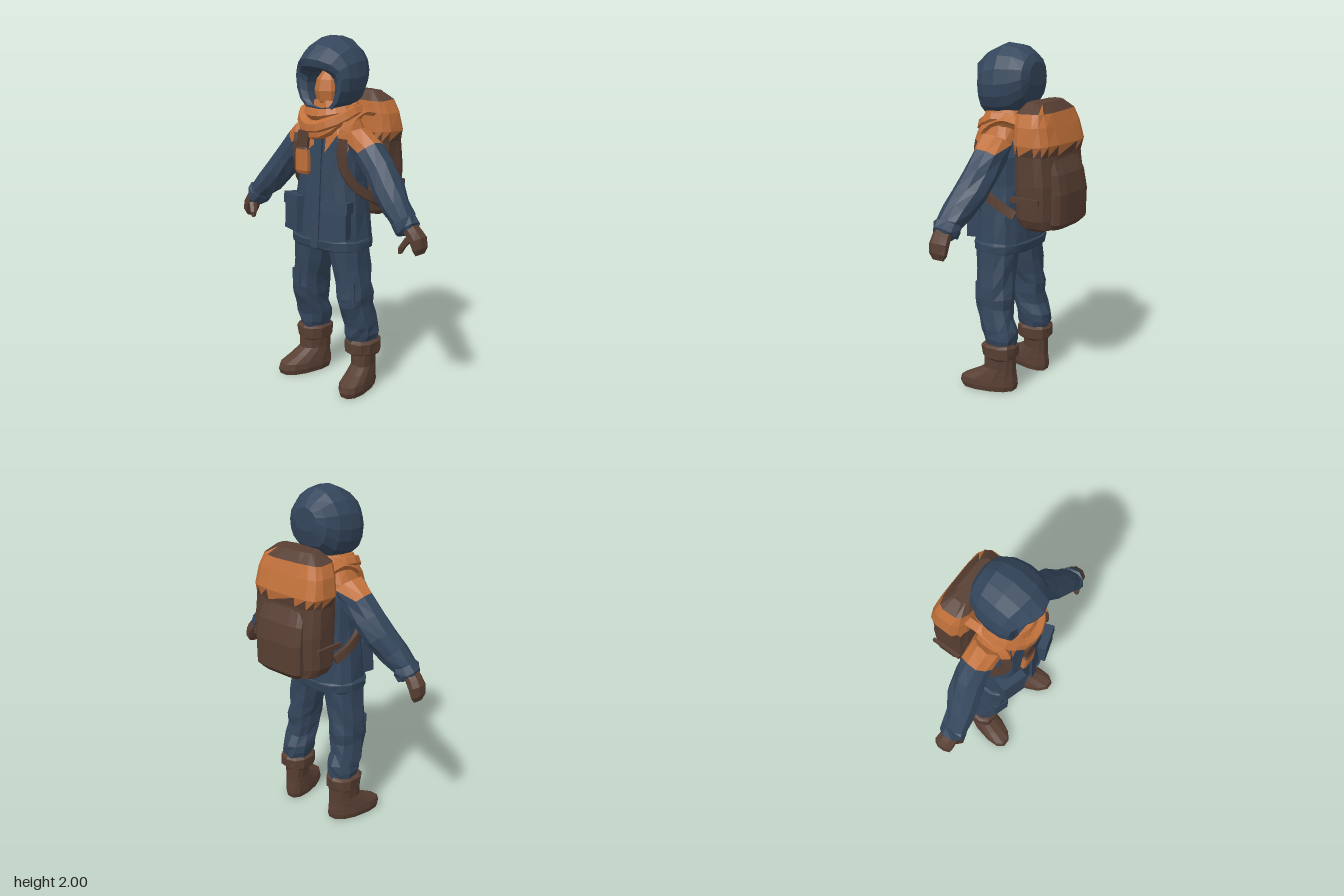
import * as THREE from 'three';

const mat = (name, color) => Object.assign(new THREE.MeshStandardMaterial({ color, flatShading: true }), { name });
const V = (x, y, z) => new THREE.Vector3(x, y, z);

// Small repeatable wobble for creased cloth
const noise = (i) => { const s = Math.sin(i * 127.1 + 3.7) * 43758.5453; return (s - Math.floor(s)) * 2 - 1; };

// Skin over a list of closed rings, capped at both ends
function skin(rings, jitter = 0) {
  const out = [], n = rings[0].length;
  let k = 0;
  if (jitter) rings.flat().forEach((p) => p.add(V(noise(k++), noise(k++), noise(k++)).multiplyScalar(jitter)));
  const tri = (a, b, c) => [a, b, c].forEach((p) => out.push(p.x, p.y, p.z));
  const mid = (r) => r.reduce((s, p) => s.add(p), V(0, 0, 0)).divideScalar(n);
  const first = rings[0], last = rings[rings.length - 1], c0 = mid(first), c1 = mid(last);
  for (let j = 0; j < n; j++) {
    const m = (j + 1) % n;
    tri(c0, first[j], first[m]);
    tri(c1, last[m], last[j]);
    for (let i = 0; i < rings.length - 1; i++) {
      const a = rings[i][j], b = rings[i][m], c = rings[i + 1][m], d = rings[i + 1][j];
      tri(a, d, b);
      tri(b, d, c);
    }
  }
  const g = new THREE.BufferGeometry();
  g.setAttribute('position', new THREE.Float32BufferAttribute(out, 3));
  g.computeVertexNormals();
  return g;
}

// Loft upward through sections [x, y, z, rx, rz]; power squares the outline, tilt leans each ring sideways
function loft(sections, { sides = 10, power = 1, tilt = 0, jitter = 0 } = {}) {
  const sq = (v) => Math.sign(v) * Math.abs(v) ** power;
  return skin(sections.map(([x, y, z, rx, rz]) => Array.from({ length: sides }, (_, j) => {
    const a = ((j + 0.5) / sides) * Math.PI * 2, u = rx * sq(Math.cos(a));
    return V(x + u * Math.cos(tilt), y + u * Math.sin(tilt), z + rz * sq(Math.sin(a)));
  })), jitter);
}

// Flat band along a path, lying against a body whose axis is x = 0, z = 0.1
function band(points, width, thick, steps = 14) {
  const curve = new THREE.CatmullRomCurve3(points.map((p) => V(...p)));
  return skin(Array.from({ length: steps + 1 }, (_, i) => {
    const p = curve.getPoint(i / steps), t = curve.getTangent(i / steps);
    const n = V(p.x, Math.max(0, p.y - 1.4), p.z - 0.1);
    n.addScaledVector(t, -n.dot(t)).normalize();
    const u = t.clone().cross(n).multiplyScalar(width / 2);
    n.multiplyScalar(thick / 2);
    return [[1, -1], [1, 1], [-1, 1], [-1, -1]].map(([a, b]) => p.clone().addScaledVector(u, a).addScaledVector(n, b));
  }));
}

function mirror(geo) {
  const g = geo.clone(), p = g.attributes.position;
  for (let i = 0; i < p.count; i += 3) {
    const v = [0, 2, 1].map((k) => V().fromBufferAttribute(p, i + k));
    v.forEach((q, k) => p.setXYZ(i + k, -q.x, q.y, q.z));
  }
  g.computeVertexNormals();
  return g;
}

export function createModel() {
  const navy = mat('navy cloth', 0x34465c), orange = mat('orange cloth', 0xc0703a), brown = mat('brown leather', 0x583f33);
  const model = new THREE.Group();
  model.name = 'hikerInParka';

  // Adds a part; a colour rule splits its faces into one mesh per colour
  const part = (name, geo, colour) => {
    const g = geo.index ? geo.toNonIndexed() : geo, p = g.attributes.position, buckets = new Map();
    for (let i = 0; i < p.count; i += 3) {
      const v = [0, 1, 2].map((k) => V().fromBufferAttribute(p, i + k));
      const m = typeof colour === 'function' ? colour(V().add(v[0]).add(v[1]).add(v[2]).divideScalar(3)) : colour;
      if (!buckets.has(m)) buckets.set(m, []);
      v.forEach((q) => buckets.get(m).push(q.x, q.y, q.z));
    }
    for (const [m, list] of buckets) {
      const b = new THREE.BufferGeometry();
      b.setAttribute('position', new THREE.Float32BufferAttribute(list, 3));
      b.computeVertexNormals();
      const mesh = new THREE.Mesh(b, m);
      mesh.name = buckets.size > 1 ? `${name} ${m.name}` : name;
      model.add(mesh);
    }
  };
  const pair = (name, geo, colour) => {
    const g = geo.index ? geo.toNonIndexed() : geo;
    part(`${name}Left`, g, colour);
    part(`${name}Right`, mirror(g), colour);
  };
  const box = (w, h, d, x, y, z, rx = 0, ry = 0) =>
    new THREE.BoxGeometry(w, h, d).rotateX(rx).rotateY(ry).translate(x, y, z);
  const yoke = (c) => (c.y > 1.43 ? orange : navy);

  // Parka body with orange yoke
  part('parka', loft([
    [0, 0.825, 0.115, 0.225, 0.145], [0, 0.835, 0.115, 0.242, 0.162], [0, 0.88, 0.115, 0.246, 0.168],
    [0, 0.89, 0.115, 0.235, 0.158], [0, 1.05, 0.115, 0.222, 0.15], [0, 1.22, 0.11, 0.205, 0.142],
    [0, 1.38, 0.105, 0.21, 0.135], [0, 1.48, 0.108, 0.205, 0.12], [0, 1.56, 0.108, 0.165, 0.105],
    [0, 1.65, 0.1, 0.1, 0.09]], { sides: 16, power: 0.75, jitter: 0.005 }), yoke);
  part('placket', band([[0.02, 0.84, 0.279], [0.02, 1.05, 0.267], [0.02, 1.25, 0.255], [0.02, 1.46, 0.24]], 0.05, 0.016, 4), navy);
  pair('pocket', box(0.14, 0.17, 0.07, 0.155, 0.995, 0.245, -0.04, 0.3), navy);
  pair('pocketFlap', box(0.155, 0.065, 0.085, 0.155, 1.085, 0.24, -0.08, 0.3), navy);

  // Sleeves and mittens
  pair('sleeve', loft([
    [0.587, 1.012, 0.15, 0.05, 0.065], [0.578, 1.022, 0.15, 0.064, 0.077], [0.55, 1.055, 0.148, 0.07, 0.08],
    [0.54, 1.065, 0.146, 0.063, 0.074], [0.48, 1.125, 0.135, 0.08, 0.085], [0.41, 1.205, 0.112, 0.085, 0.095],
    [0.33, 1.3, 0.098, 0.086, 0.095], [0.25, 1.385, 0.09, 0.092, 0.092], [0.16, 1.46, 0.1, 0.09, 0.095]],
  { tilt: 0.7, jitter: 0.007 }), yoke);
  pair('mitten', loft([
    [0.652, 0.895, 0.14, 0.015, 0.035], [0.652, 0.925, 0.14, 0.03, 0.055], [0.638, 0.975, 0.142, 0.042, 0.06],
    [0.61, 1.01, 0.147, 0.044, 0.056], [0.58, 1.04, 0.15, 0.045, 0.055]], { sides: 8, tilt: 0.45 }), brown);
  pair('thumb', loft([
    [0.567, 0.9, 0.2, 0.01, 0.014], [0.573, 0.93, 0.195, 0.019, 0.022], [0.605, 0.985, 0.17, 0.024, 0.028]],
  { sides: 6 }), brown);

  // Trousers
  pair('trouserLeg', loft([
    [0.185, 0.26, 0.06, 0.07, 0.09], [0.186, 0.32, 0.064, 0.083, 0.102], [0.183, 0.37, 0.066, 0.087, 0.106],
    [0.18, 0.43, 0.088, 0.083, 0.1], [0.175, 0.5, 0.108, 0.086, 0.112], [0.172, 0.56, 0.112, 0.088, 0.114],
    [0.162, 0.63, 0.114, 0.088, 0.112], [0.148, 0.72, 0.116, 0.096, 0.114], [0.128, 0.86, 0.118, 0.106, 0.12]],
  { sides: 10, power: 0.85, jitter: 0.007 }), navy);
  pair('thighPocket', box(0.09, 0.13, 0.02, 0.195, 0.585, 0.205, 0, 0.35), navy);

  // Boots with turned-out toes and thick cuffs
  const boot = loft([
    [0.19, 0, 0.13, 0.075, 0.158], [0.19, 0.03, 0.132, 0.082, 0.168], [0.19, 0.065, 0.128, 0.08, 0.162],
    [0.19, 0.105, 0.09, 0.074, 0.117], [0.19, 0.14, 0.062, 0.068, 0.088], [0.19, 0.22, 0.06, 0.073, 0.086]],
  { sides: 12, power: 0.85 });
  const bp = boot.attributes.position;
  for (let i = 0; i < bp.count; i++) bp.setX(i, bp.getX(i) + (bp.getZ(i) - 0.04) * 0.22);
  pair('boot', boot, brown);
  pair('bootCuff', loft([
    [0.19, 0.2, 0.06, 0.08, 0.09], [0.19, 0.212, 0.062, 0.092, 0.102], [0.19, 0.275, 0.062, 0.096, 0.106],
    [0.19, 0.29, 0.062, 0.08, 0.092]], { sides: 10, power: 0.8, jitter: 0.003 }), brown);

  // Hood: rings from the back of the head forward, over the peaked brim and into the opening
  // [z, centre y, rx, height above, height below, brim reach]
  const hood = [
    [-0.07, 1.83, 0.08, 0.07, 0.06, 0], [-0.045, 1.81, 0.135, 0.135, 0.13, 0], [0.02, 1.79, 0.175, 0.2, 0.17, 0],
    [0.1, 1.78, 0.19, 0.22, 0.18, 0.02], [0.175, 1.78, 0.188, 0.175, 0.18, 0.05], [0.22, 1.78, 0.17, 0.105, 0.18, 0.09],
    [0.222, 1.77, 0.145, 0.075, 0.16, 0.08], [0.2, 1.74, 0.105, 0.085, 0.13, 0.03], [0.11, 1.74, 0.1, 0.08, 0.13, 0]];
  part('hood', skin(hood.map(([z, y, rx, up, down, brim]) => Array.from({ length: 16 }, (_, j) => {
    const a = (j / 16) * Math.PI * 2, c = Math.cos(a), s = Math.sin(a);
    const w = s < 0 ? Math.sign(c) * Math.abs(c) ** 0.6 : c;
    return V(-rx * w, y + s * (s > 0 ? up : down), z + brim * Math.max(0, s) ** 3);
  }))), navy);
  part('face', new THREE.SphereGeometry(1, 8, 6).scale(0.088, 0.12, 0.1).translate(0, 1.705, 0.115), orange);

  // Scarf wraps and hanging tail: [rx, rz, centre z, height, front droop, thickness]
  [[0.135, 0.115, 0.11, 1.605, 0.03, 0.034], [0.155, 0.145, 0.118, 1.585, 0.075, 0.038],
    [0.148, 0.135, 0.115, 1.57, 0.09, 0.036]].forEach(([rx, rz, cz, y, droop, r], i) => {
    const pts = Array.from({ length: 12 }, (_, k) => {
      const a = (k / 12) * Math.PI * 2, s = Math.sin(a);
      return V(rx * Math.cos(a), y - droop * Math.max(0, s) ** 2 + 0.008 * noise(k + i * 20), cz + rz * s);
    });
    part(`scarfWrap${i + 1}`, new THREE.TubeGeometry(new THREE.CatmullRomCurve3(pts, true), 18, r, 6, true), orange);
  });
  part('scarfTail', loft([
    [-0.07, 1.25, 0.275, 0.042, 0.012], [-0.065, 1.27, 0.28, 0.05, 0.018], [-0.06, 1.39, 0.283, 0.046, 0.018],
    [-0.06, 1.4, 0.28, 0.035, 0.014], [-0.055, 1.49, 0.275, 0.04, 0.016]], { sides: 8, power: 0.5 }),
  (c) => (c.y > 1.39 || c.y < 1.255 ? brown : orange));

  // Backpack with orange lid, rear pocket and straps
  part('backpack', loft([
    [0, 0.98, -0.15, 0.16, 0.06], [0, 1.01, -0.16, 0.21, 0.11], [0, 1.06, -0.152, 0.234, 0.12],
    [0, 1.25, -0.152, 0.24, 0.124], [0, 1.41, -0.145, 0.236, 0.115], [0, 1.47, -0.148, 0.25, 0.12],
    [0, 1.57, -0.135, 0.238, 0.107], [0, 1.64, -0.125, 0.21, 0.092], [0, 1.69, -0.12, 0.14, 0.05]],
  { sides: 16, power: 0.55, jitter: 0.004 }),
  (c) => (c.y > 1.655 || c.y < 1.435 ? brown : orange));
  part('rearPocket', loft([
    [0, 1.0, -0.235, 0.14, 0.05], [0, 1.035, -0.255, 0.168, 0.062], [0, 1.2, -0.257, 0.172, 0.063],
    [0, 1.31, -0.24, 0.168, 0.06], [0, 1.4, -0.215, 0.15, 0.045]], { sides: 12, power: 0.5 }), brown);
  pair('sideStrap', box(0.016, 0.03, 0.18, 0.243, 1.17, -0.14), brown);
  pair('shoulderStrap', band([
    [0.16, 1.58, -0.05], [0.165, 1.595, 0.06], [0.17, 1.53, 0.18], [0.172, 1.43, 0.22], [0.18, 1.3, 0.215],
    [0.215, 1.18, 0.14], [0.232, 1.12, 0.04], [0.215, 1.07, -0.06]], 0.05, 0.024, 18),
  (c) => (c.y > 1.45 ? orange : brown));

  return model;
}
